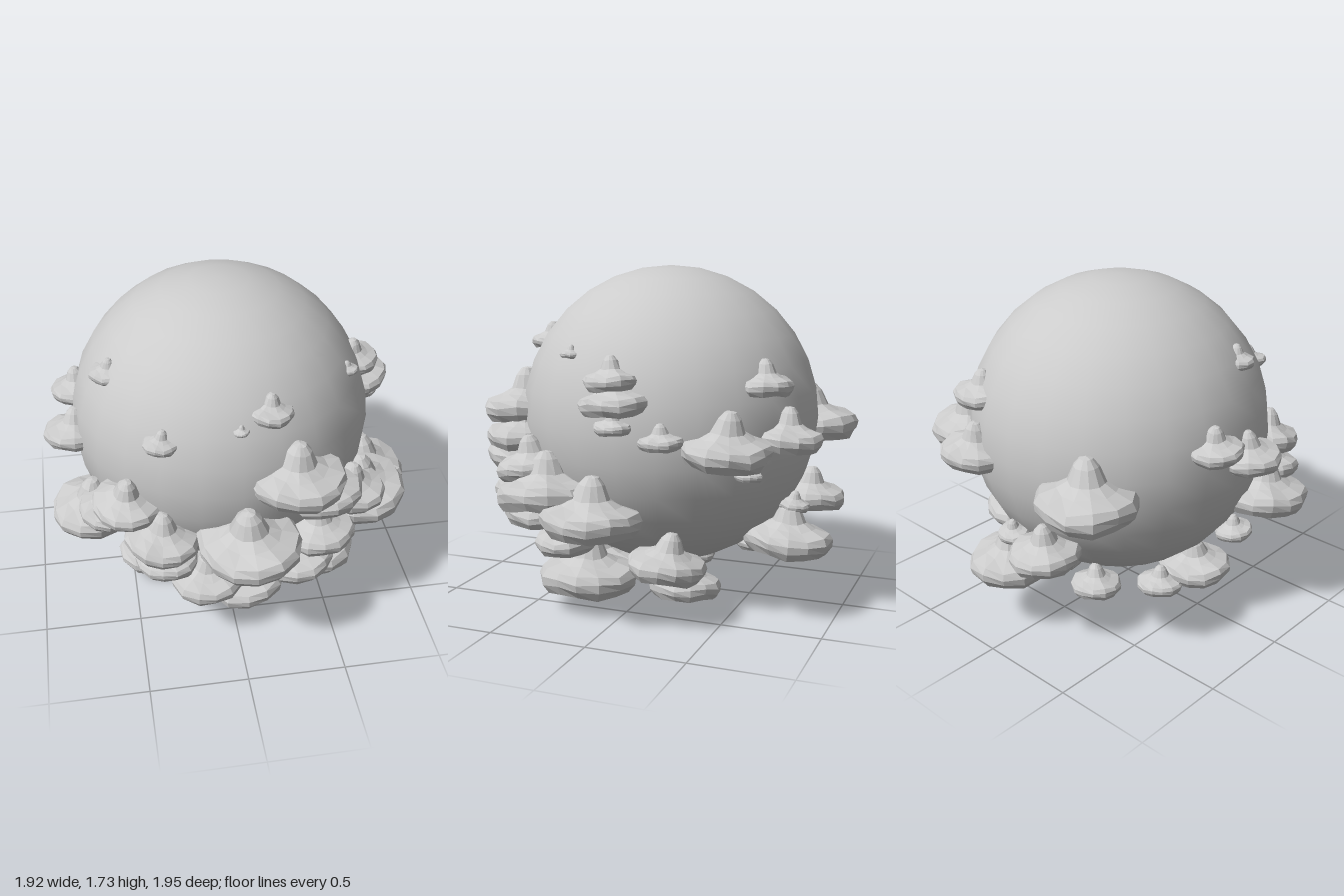
import * as THREE from 'three';

const material = new THREE.MeshStandardMaterial({ color: 0xcccccc });
const facetedMaterial = new THREE.MeshStandardMaterial({ color: 0xcccccc, flatShading: true });
const ballRadius = 0.775;
const ballCentre = new THREE.Vector3(0.015, 0.945, -0.055);

// Cap section for radius 1: deep hollow underside, rolled rim, brim, central knob
const section = [
  [0, 0.26], [0.45, 0.16], [0.74, -0.08], [0.86, -0.34], [0.98, -0.16], [1, 0],
  [0.92, 0.14], [0.6, 0.24], [0.38, 0.36], [0.25, 0.65], [0.13, 0.79], [0, 0.82],
].map(([r, y]) => new THREE.Vector2(r, y));

// Caps as [degrees around the ball from the front towards +x, rim height, radius]
const caps = [
  // front
  [2, 0.69, 0.255], [21, 1.0, 0.235], [32, 0.86, 0.19], [-31, 1.2, 0.09], [0, 1.28, 0.04],
  [14, 1.33, 0.115], [-44, 0.83, 0.175], [-30, 0.67, 0.185], [-31, 0.47, 0.155],
  [-14, 0.36, 0.19], [33, 0.59, 0.18], [26, 0.43, 0.19],
  // left side
  [60, 0.64, 0.245], [81, 0.56, 0.24], [49, 0.75, 0.18], [55, 0.36, 0.16], [64, 1.31, 0.055],
  [87, 1.21, 0.14], [89, 1.11, 0.17], [90, 1.0, 0.09], [107, 0.94, 0.105], [109, 0.31, 0.19],
  // right side
  [-70, 1.36, 0.095], [-83, 0.95, 0.16], [-101, 1.06, 0.14],
  [-65, 0.64, 0.215], [-54, 0.73, 0.16], [-77, 0.47, 0.1],
  // back
  [-148, 0.88, 0.255], [130, 0.9, 0.22], [150, 1.18, 0.145], [157, 0.92, 0.18], [139, 0.76, 0.07],
  [171, 0.37, 0.22], [-166, 0.53, 0.18], [174, 0.53, 0.085], [-151, 0.24, 0.13],
  // underside
  [-66, 0.15, 0.19], [-95, 0.09, 0.12], [11, 0.1, 0.23], [60, 0.18, 0.245], [123, 0.12, 0.18],
];

// Distance from the upright axis at which a cap's knob rests on the ball
function reach(y, radius) {
  const rise = y + 0.6 * radius - ballCentre.y;
  const overhang = 0.4 * radius * Math.max(0, ballCentre.y - y);
  return Math.sqrt(Math.max(ballRadius ** 2 - rise ** 2, 0.08)) + overhang;
}

function makeCap(index) {
  const sides = 13;
  const geometry = new THREE.LatheGeometry(section, sides);
  const p = geometry.attributes.position;
  // Uneven rim and a slightly bent knob
  for (let i = 0; i < p.count; i++) {
    const x = p.getX(i), y = p.getY(i), z = p.getZ(i);
    const row = i % section.length;
    const column = Math.floor(i / section.length) % sides;
    const angle = column / sides * Math.PI * 2;
    const wave = 1 + 0.04 * Math.sin(2 * angle + index * 1.7) + 0.02 * Math.sin(5 * angle + row + index);
    const ripple = 0.03 * Math.hypot(x, z) * (Math.sin(3 * angle + index) + Math.sin(5 * angle + row));
    const bend = 0.06 * Math.max(0, y - 0.3);
    p.setXYZ(i, x * wave + bend * Math.sin(index), y + ripple, z * wave + bend * Math.cos(index));
  }
  geometry.computeVertexNormals();
  return new THREE.Mesh(geometry, facetedMaterial);
}

export function createModel() {
  const model = new THREE.Group();
  model.name = 'capCoveredBall';

  // Smooth central ball
  const ball = new THREE.Mesh(new THREE.SphereGeometry(ballRadius, 24, 16), material);
  ball.name = 'ball';
  ball.position.copy(ballCentre);
  model.add(ball);

  // Shelf caps growing out of the ball, each leaning a little outwards
  const shelf = new THREE.Group();
  shelf.name = 'mushroomCaps';
  caps.forEach(([degrees, y, radius], i) => {
    const angle = THREE.MathUtils.degToRad(degrees);
    const distance = reach(y, radius);
    const x = ballCentre.x + distance * Math.sin(angle);
    const z = ballCentre.z + distance * Math.cos(angle);
    const cap = makeCap(i);
    cap.name = `mushroomCap${i + 1}`;
    cap.position.set(x, y, z);
    cap.rotation.set(0.06 * Math.sin(i * 2.3) + 0.08 * z, i * 1.3, 0.06 * Math.cos(i * 1.9) - 0.08 * x);
    cap.scale.setScalar(radius);
    shelf.add(cap);
  });
  model.add(shelf);
  return model;
}
